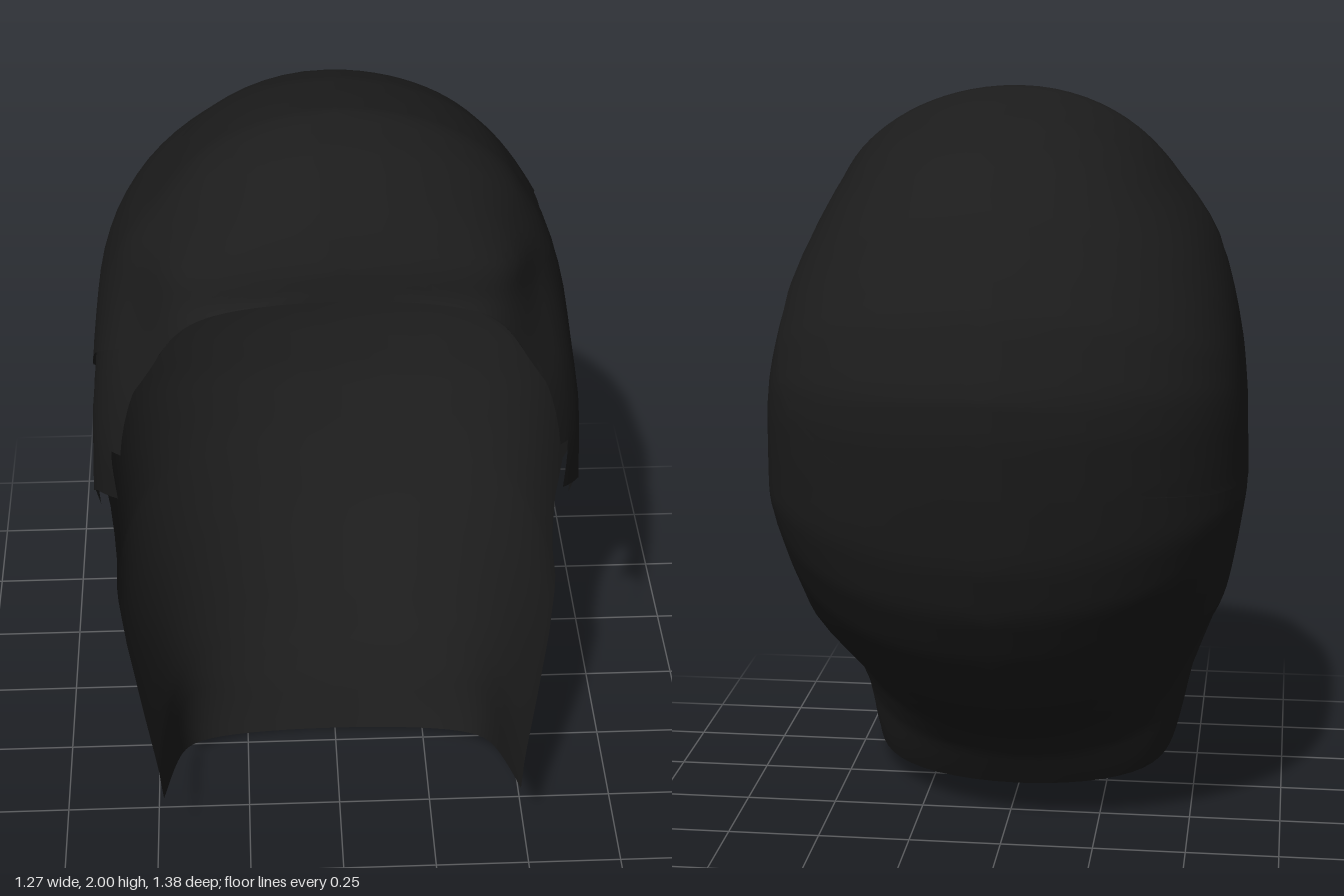
import * as THREE from 'three';
import { mergeGeometries, mergeVertices } from 'three/addons/utils/BufferGeometryUtils.js';

// Points are [z, y] in the side plane; the half-width x follows from a rule.
// Centre line of the head from the hairline over the crown to the nape
const crownLine = [[.548, 1.69], [.53, 1.76], [.476, 1.84], [.328, 1.96], [.18, 1.99], [.04, 1.963],
  [-.1, 1.93], [-.267, 1.865], [-.457, 1.75], [-.555, 1.62], [-.625, 1.51], [-.68, 1.33], [-.675, 1.22]];
const napeLine = [[-.65, 1.07], [-.61, .88], [-.55, .73], [-.45, .58], [-.3, .41], [-.1, .27],
  [.04, .2], [.12, .12], [.2, 0]];
const outline = [...crownLine, ...napeLine];

// Lower seam of the crown layer, one point for each point of its centre line;
// it hangs lower on the -x side
const highSeam = [[.5, 1.55], [.45, 1.565], [.4, 1.58], [.3, 1.6], [.15, 1.62], [.04, 1.63], [-.06, 1.61],
  [-.14, 1.57], [-.25, 1.5], [-.33, 1.42], [-.4, 1.35], [-.47, 1.27], [-.54, 1.19], [-.57, 1.14]];
const lowSeam = [[.5, 1.55], [.47, 1.53], [.44, 1.51], [.4, 1.47], [.33, 1.42], [.25, 1.36], [.17, 1.3],
  [.1, 1.23], [0, 1.15], [-.1, 1.08], [-.2, 1.04], [-.3, 1.03], [-.42, 1.04], [-.52, 1.06]];

// Bend point and notched face-edge point for each row of the full layer
const faceEdge = [
  [[.525, 1.62], [.5, 1.55]],
  [[.46, 1.55], [.49, 1.4]],
  [[.42, 1.5], [.53, 1.24]],
  [[.36, 1.42], [.485, 1.22]],
  [[.3, 1.42], [.535, 1.11]],
  [[.2, 1.4], [.38, 1.02]],
  [[.15, 1.35], [.25, .92]],
  [[.13, 1.3], [.22, .85]],
  [[.05, 1.25], [.17, .95]],
  [[-.02, 1.15], [.12, .93]],
  [[-.08, 1.1], [.1, .89]],
  [[-.1, 1.05], [.08, .86]],
  [[-.15, .97], [.09, .8]],
  [[-.2, .9], [.1, .75]],
  [[-.15, .75], [.15, .69]],
  [[-.1, .65], [.21, .65]],
  [[-.05, .6], [.3, .63]],
  [[0, .45], [.42, .53]],
  [[.15, .36], [.55, .38]],
  [[.25, .28], [.62, .3]],
  [[.34, .2], [.66, .26]],
  [[.42, .12], [.69, .22]],
];

const capRows = seam => seam.map((e, i) => {
  const p = outline[i];
  return [p, [(p[0] + e[0]) / 2, (p[1] + e[1]) / 2], e];
});
const fullRows = faceEdge.map(([m, e], i) => [outline[i], m, e]);

const widths = [[0, .455], [.1, .46], [.2, .472], [.27, .487], [.4, .53], [.6, .59], [.8, .617],
  [.95, .637], [1.2, .625], [1.4, .6], [1.5, .582], [1.62, .555], [1.75, .525], [2, .52]];
const { lerp, smoothstep } = THREE.MathUtils;

// Distance from a point to the centre line
function outlineDistance(z, y) {
  let best = Infinity;
  for (let i = 1; i < outline.length; i++) {
    const [az, ay] = outline[i - 1], [bz, by] = outline[i];
    const dz = bz - az, dy = by - ay;
    const t = THREE.MathUtils.clamp(((z - az) * dz + (y - ay) * dy) / (dz * dz + dy * dy), 0, 1);
    best = Math.min(best, Math.hypot(z - az - t * dz, y - ay - t * dy));
  }
  return best < 1e-5 ? 0 : best;
}

// Half-width: rounded away from the centre line, then a nearly flat side
function halfWidth(z, y, side) {
  let i = 1;
  while (i < widths.length - 1 && widths[i][0] < y) i++;
  const [y0, w0] = widths[i - 1], [y1, w1] = widths[i];
  let w = lerp(w0, w1, (y - y0) / (y1 - y0));
  // Narrower toward the face, and a crown slightly fuller on the +x side
  w *= 1 - (1.4 * smoothstep(y, .5, 1) + smoothstep(y, 1.4, 1.65)) * Math.max(0, z - .25) ** 2;
  w *= 1 + side * .045 * smoothstep(y, 1.6, 1.85);
  const round = .62 - .43 * (1 - smoothstep(Math.hypot(z - .55, y - 1.69), 0, .28))
    - .36 * (1 - smoothstep(Math.hypot(z - .2, y), 0, .5));
  const q = Math.max(0, 1 - outlineDistance(z, y) / round);
  return w * Math.sqrt(1 - q ** 2.9);
}

// Skin the rows of each side and weld them along the centre line
function shell(plusRows, minusRows, grow) {
  const sub = 4, cols = 20, C = cols + 1;
  const halves = [[1, plusRows], [-1, minusRows]].map(([side, rows]) => {
    const fine = [], pos = [], index = [];
    rows.forEach((row, i) => {
      const next = rows[i + 1];
      for (let k = 0; k < (next ? sub : 1); k++) {
        fine.push(row.map((p, n) => next
          ? [lerp(p[0], next[n][0], k / sub), lerp(p[1], next[n][1], k / sub)] : p));
      }
    });
    fine.forEach(([a, m, e], i) => {
      for (let j = 0; j < C; j++) {
        const u = (j / cols) ** 1.8;
        const at = n => (1 - u) ** 2 * a[n] + 2 * u * (1 - u) * m[n] + u * u * e[n];
        const z = at(0), y = at(1);
        pos.push(side * halfWidth(z, y, side) * grow, 1.2 + (y - 1.2) * grow, z * grow);
        if (i && j) {
          const d = i * C + j, c = d - 1, b = d - C, o = b - 1;
          index.push(...(side > 0 ? [o, b, c, b, d, c] : [o, c, b, b, c, d]));
        }
      }
    });
    const g = new THREE.BufferGeometry();
    g.setAttribute('position', new THREE.Float32BufferAttribute(pos, 3));
    g.setIndex(index);
    return g;
  });
  const geo = mergeVertices(mergeGeometries(halves), 1e-4);
  geo.computeVertexNormals();
  return geo;
}

export function createModel() {
  const group = new THREE.Group();
  group.name = 'hair';
  const black = new THREE.MeshStandardMaterial({ color: 0x1c1c1c, side: THREE.DoubleSide });
  black.name = 'soft black';

  const add = (name, geometry) => {
    const mesh = new THREE.Mesh(geometry, black);
    mesh.name = name;
    group.add(mesh);
  };
  // Crown layer lies just outside the full layer
  add('crownHair', shell(capRows(highSeam), capRows(lowSeam), 1.012));
  add('sideAndNapeHair', shell(fullRows, fullRows, 1));
  return group;
}
